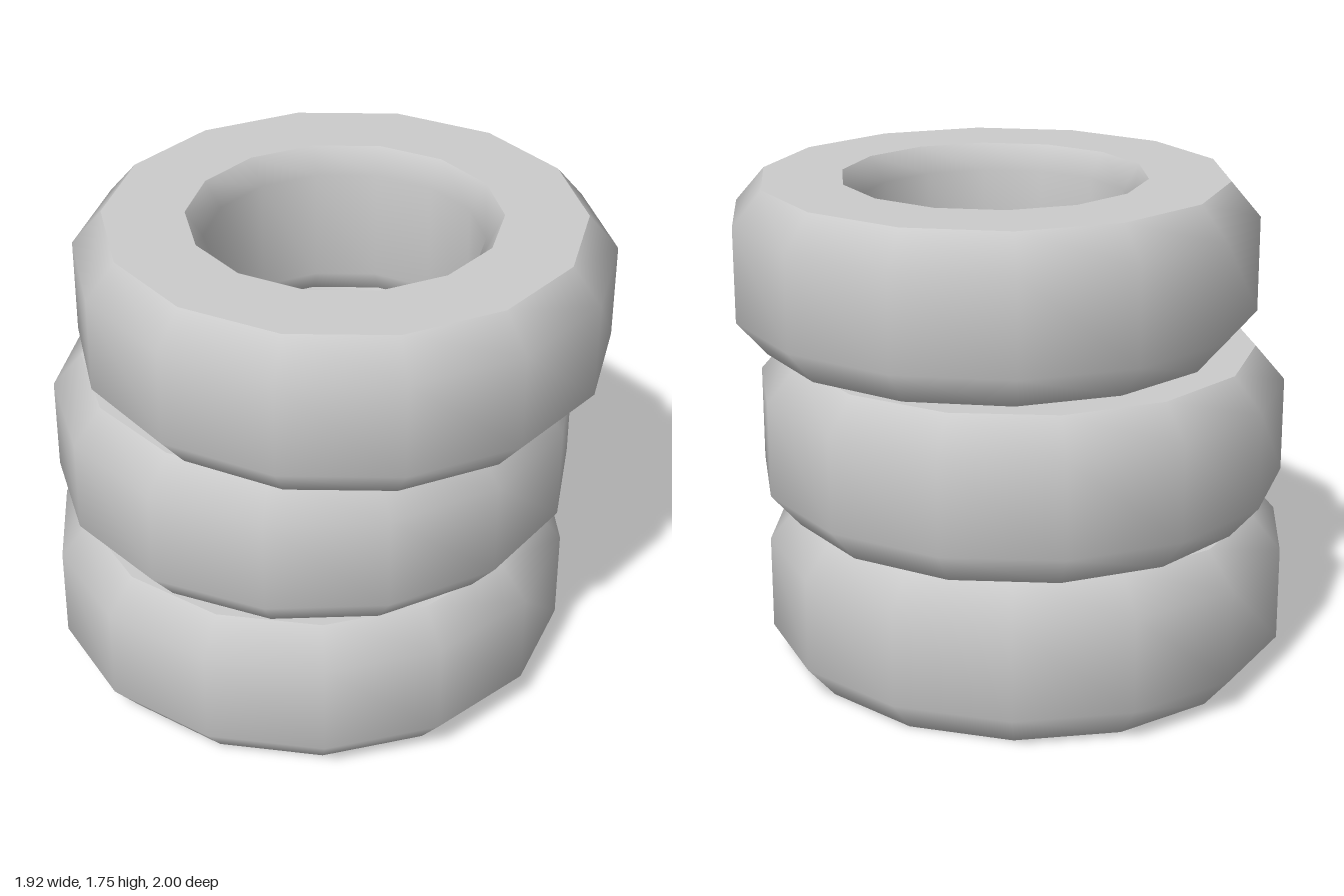
import * as THREE from 'three';
import { mergeGeometries } from 'three/addons/utils/BufferGeometryUtils.js';

const SIDES = 14;
const HEIGHT = 0.583;
const OUTER = 0.937, FLAT_OUTER = 0.832, BEVEL = 0.122;
const FLAT_INNER = 0.545, HOLE = 0.485, HOLE_BEVEL = 0.09;

// Each band is smooth within itself; band borders stay sharp
function tyreGeometry() {
  const bands = [
    // tread with bevelled shoulders
    [[FLAT_OUTER, 0], [OUTER, BEVEL], [OUTER, HEIGHT - BEVEL], [FLAT_OUTER, HEIGHT]],
    // upper sidewall
    [[FLAT_OUTER, HEIGHT], [FLAT_INNER, HEIGHT]],
    // hole with bevelled rims
    [[FLAT_INNER, HEIGHT], [HOLE, HEIGHT - HOLE_BEVEL], [HOLE, HOLE_BEVEL], [FLAT_INNER, 0]],
    // lower sidewall
    [[FLAT_INNER, 0], [FLAT_OUTER, 0]],
  ];
  return mergeGeometries(bands.map((band) =>
    new THREE.LatheGeometry(band.map(([r, y]) => new THREE.Vector2(r, y)), SIDES)));
}

export function createModel() {
  const group = new THREE.Group();
  group.name = 'tyreStack';
  const material = new THREE.MeshStandardMaterial({ color: 0xcccccc });
  const geometry = tyreGeometry();

  // Loosely stacked tyres: name, x, z, turn in degrees
  const tyres = [
    ['bottomTyre', -0.022, -0.06, 13.56],
    ['middleTyre', 0.008, -0.065, 0],
    ['topTyre', 0.033, 0.066, -3.9],
  ];
  tyres.forEach(([name, x, z, turn], i) => {
    const tyre = new THREE.Mesh(geometry, material);
    tyre.name = name;
    tyre.position.set(x, i * HEIGHT, z);
    tyre.rotation.y = THREE.MathUtils.degToRad(turn);
    group.add(tyre);
  });
  return group;
}
